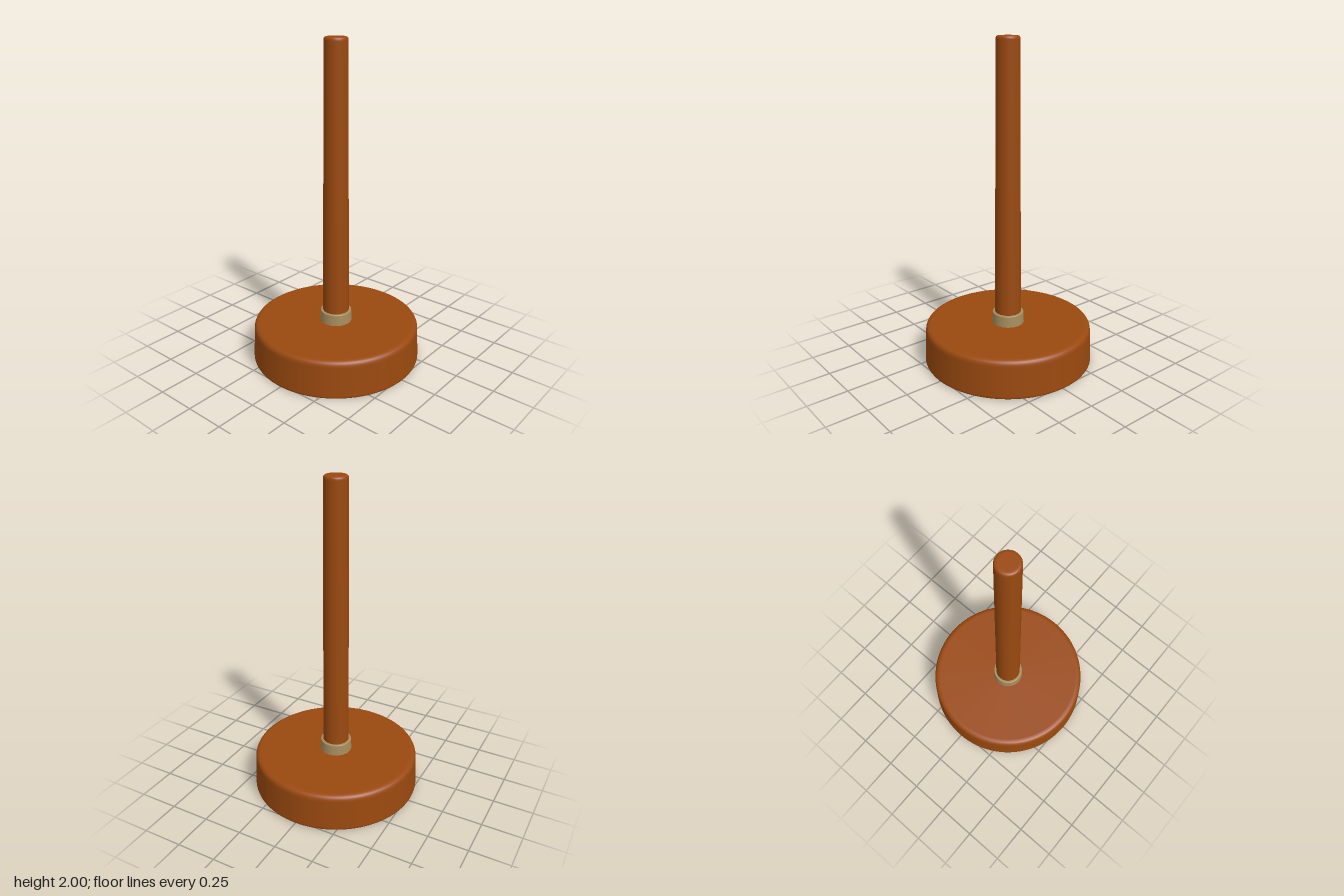
import * as THREE from 'three';

const SEGMENTS = 96;

// Profile with each inner corner rounded by its own radius: [x, y, radius]
function roundedProfile(corners, steps = 6) {
  const points = [];
  corners.forEach(([x, y, r = 0], i) => {
    const p = new THREE.Vector2(x, y);
    if (!r) { points.push(p); return; }
    const toward = ([ax, ay], d) =>
      new THREE.Vector2(ax, ay).sub(p).setLength(d).add(p);
    const a = toward(corners[i - 1], r);
    const b = toward(corners[i + 1], r);
    // guard points keep the neighbouring faces flat shaded up to the edge
    points.push(toward(corners[i - 1], r * 1.08));
    points.push(...new THREE.QuadraticBezierCurve(a, p, b).getPoints(steps));
    points.push(toward(corners[i + 1], r * 1.08));
  });
  return points;
}

function turned(name, corners, material) {
  const geometry = new THREE.LatheGeometry(roundedProfile(corners), SEGMENTS);
  const mesh = new THREE.Mesh(geometry, material);
  mesh.name = name;
  return mesh;
}

export function createModel() {
  const wood = new THREE.MeshStandardMaterial({ color: 0x9a490f });
  wood.name = 'brown wood';
  const brass = new THREE.MeshStandardMaterial({ color: 0xa68d5e });
  brass.name = 'dull brass';

  const model = new THREE.Group();
  model.name = 'weightedStand';

  // Heavy round foot, slightly narrower at the top
  model.add(turned('base', [
    [0, 0], [0.528, 0, 0.018], [0.517, 0.24, 0.034], [0, 0.24],
  ], wood));

  // Metal collar where the rod enters the foot
  model.add(turned('collar', [
    [0, 0.23], [0.101, 0.23, 0.002], [0.097, 0.312, 0.006], [0, 0.312],
  ], brass));

  // Tapered upright rod with a rounded tip
  model.add(turned('rod', [
    [0, 0.29], [0.082, 0.29, 0.002], [0.07, 2, 0.018], [0, 2],
  ], wood));

  return model;
}
